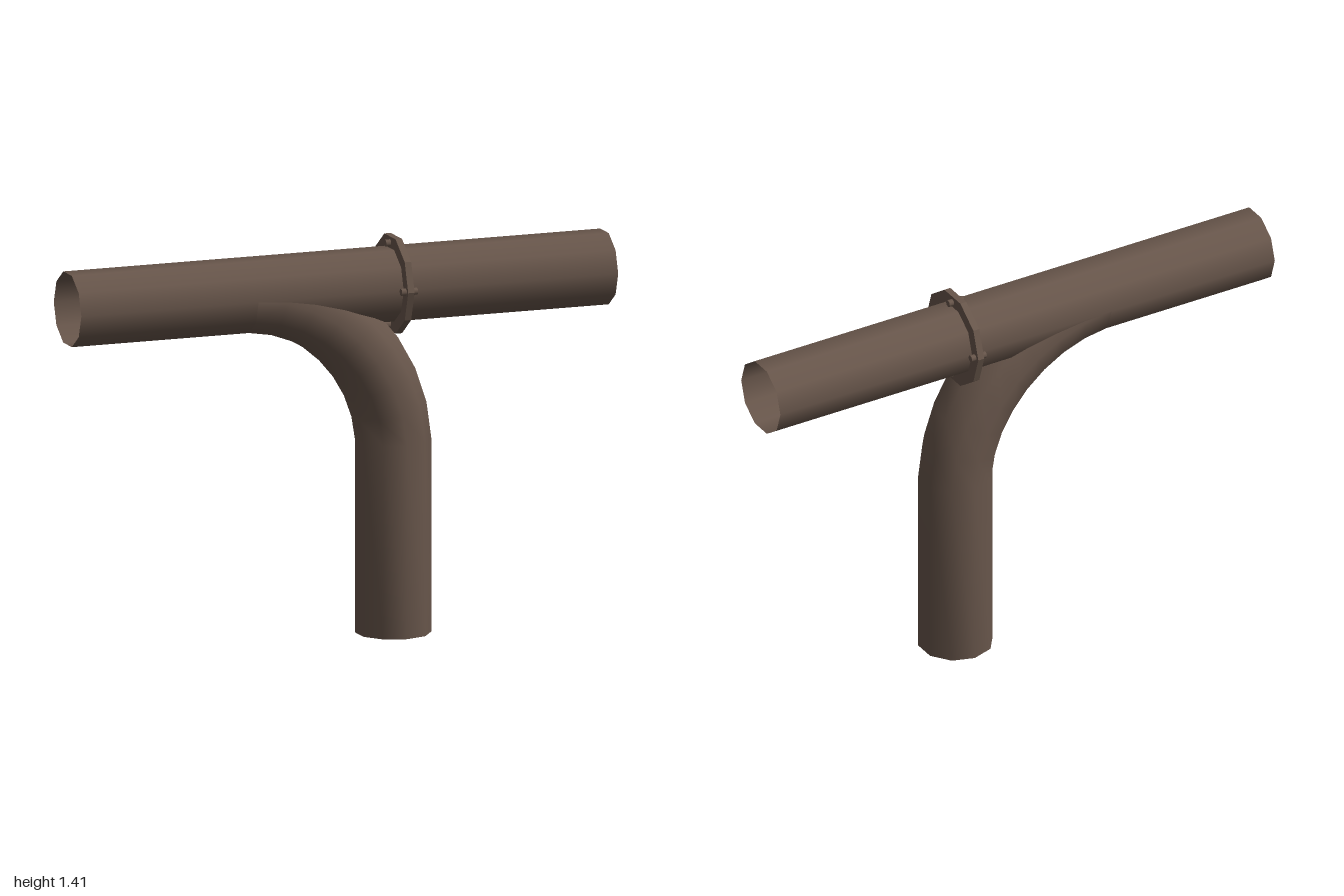
import * as THREE from 'three';

const SIDES = 10;
const RADIUS = 0.133;
const AXIS_Y = 1.238;
const FLANGE_X = 0.213;

// Decagon outline with corners on the horizontal axis
function decagon(radius) {
  return Array.from({ length: SIDES }, (_, i) => {
    const a = (i / SIDES) * Math.PI * 2;
    return new THREE.Vector2(Math.cos(a) * radius, Math.sin(a) * radius);
  });
}

// Open tube through rings of { x, y, angle }; angle is the outward direction in the xy plane
function ringTube(rings) {
  const positions = [];
  const index = [];
  rings.forEach(({ x, y, angle }, r) => {
    for (const p of decagon(RADIUS)) {
      positions.push(x + Math.cos(angle) * p.y, y + Math.sin(angle) * p.y, p.x);
    }
    if (r === 0) return;
    for (let i = 0; i < SIDES; i++) {
      const j = (i + 1) % SIDES;
      const a = (r - 1) * SIDES + i, b = (r - 1) * SIDES + j;
      const c = r * SIDES + i, d = r * SIDES + j;
      index.push(a, b, c, b, d, c);
    }
  });
  const geometry = new THREE.BufferGeometry();
  geometry.setAttribute('position', new THREE.Float32BufferAttribute(positions, 3));
  geometry.setIndex(index);
  geometry.computeVertexNormals();
  return geometry;
}

export function createModel() {
  const model = new THREE.Group();
  model.name = 'pipeJunction';
  const brown = new THREE.MeshStandardMaterial({ color: 0x68564b, side: THREE.DoubleSide });
  brown.name = 'brown pipe metal';

  const add = (name, geometry, parent = model) => {
    const mesh = new THREE.Mesh(geometry, brown);
    mesh.name = name;
    parent.add(mesh);
    return mesh;
  };

  // Straight horizontal pipe, open at both ends
  const main = new THREE.CylinderGeometry(RADIUS, RADIUS, 2, SIDES, 1, true);
  main.rotateZ(-Math.PI / 2);
  add('mainPipe', main).position.y = AXIS_Y;

  // Vertical branch that bends into the main pipe
  const bend = 0.5525;
  const cx = FLANGE_X - bend, cy = AXIS_Y - bend;
  const rings = [{ x: FLANGE_X, y: 0, angle: 0 }];
  const steps = 8;
  for (let i = 0; i <= steps; i++) {
    const angle = (i / steps) * Math.PI / 2;
    const r = bend - 0.014 * Math.sin(2 * angle);
    rings.push({ x: cx + Math.cos(angle) * r, y: cy + Math.sin(angle) * r, angle });
  }
  add('branchPipe', ringTube(rings));

  // Bolted flange around the main pipe
  const flange = new THREE.Group();
  flange.name = 'flange';
  flange.position.set(FLANGE_X, AXIS_Y, 0);
  model.add(flange);
  const outline = new THREE.Shape(decagon(0.176));
  outline.holes.push(new THREE.Path(decagon(0.119).reverse()));
  const ring = new THREE.ExtrudeGeometry(outline, { depth: 0.024, bevelEnabled: false });
  ring.translate(0, 0, -0.012);
  ring.rotateY(Math.PI / 2);
  add('flangeRing', ring, flange);

  // Four bolts, each with a head on either side of the ring
  const bolt = new THREE.CylinderGeometry(0.0125, 0.0125, 0.06, 8);
  bolt.rotateZ(-Math.PI / 2);
  for (const [y, z] of [[0.145, 0], [-0.145, 0], [0, 0.152], [0, -0.152]]) {
    add('flangeBolt', bolt, flange).position.set(0, y, z);
  }

  return model;
}
